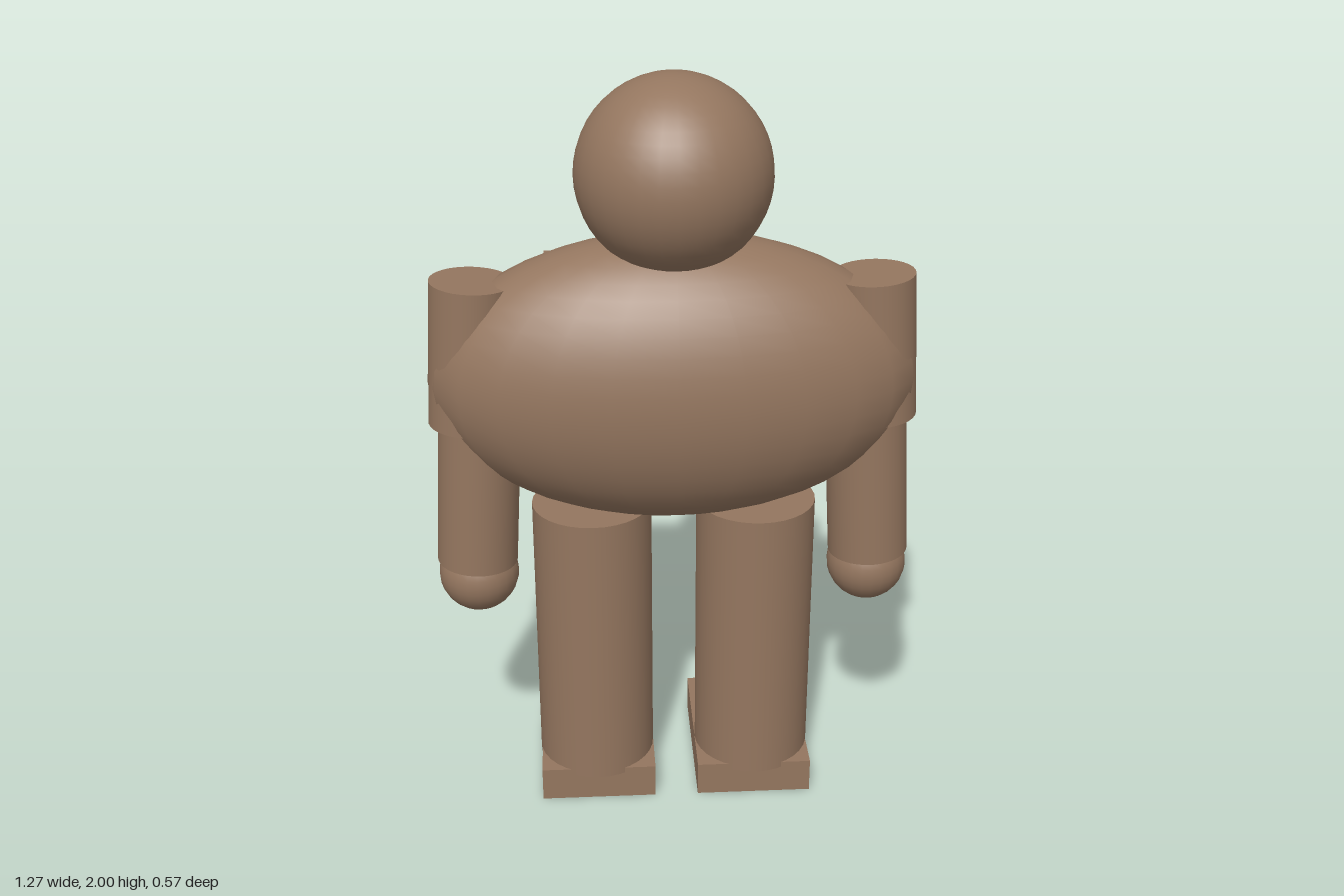
import * as THREE from 'three';

export function createModel() {
  const root = new THREE.Group();
  const brown = new THREE.MeshStandardMaterial({ color: 0x94765f });
  brown.name = 'brown';
  const yellow = new THREE.MeshStandardMaterial({ color: 0xd0c862 });
  yellow.name = 'yellow';

  function add(name, geometry, x, y, z, material = brown) {
    const mesh = new THREE.Mesh(geometry, material);
    mesh.name = name;
    mesh.position.set(x, y, z);
    root.add(mesh);
    return mesh;
  }

  // Body and head
  const body = new THREE.SphereGeometry(1, 24, 24);
  body.scale(0.632, 0.383, 0.273);
  add('body', body, 0, 1.218, 0.01);
  add('head', new THREE.SphereGeometry(0.247, 32, 24), 0, 1.753, 0.013);

  // Three plates across the -z side
  const plate = new THREE.BoxGeometry(0.66, 0.116, 0.056);
  for (const y of [1.1, 1.255, 1.41]) add('chestPlate', plate, 0, y, -0.24);

  const eye = new THREE.SphereGeometry(0.043, 16, 12);
  const upperArm = new THREE.CylinderGeometry(0.107, 0.107, 0.385, 32);
  const lowerArm = new THREE.CylinderGeometry(0.107, 0.107, 0.4, 32);
  const hand = new THREE.SphereGeometry(0.107, 24, 16);
  const upperLeg = new THREE.CylinderGeometry(0.159, 0.159, 0.395, 32);
  const lowerLeg = new THREE.CylinderGeometry(0.159, 0.159, 0.39, 32);
  const foot = new THREE.BoxGeometry(0.315, 0.096, 0.44);

  // Paired parts
  for (const side of [1, -1]) {
    const label = side > 0 ? 'left' : 'right';
    add(label + 'Eye', eye, side * 0.109, 1.786, -0.221, yellow);

    // Arms lean slightly outward towards the hands
    add(label + 'UpperArm', upperArm, side * 0.518, 1.294, 0.012).rotation.z = side * 0.06;
    add(label + 'LowerArm', lowerArm, side * 0.517, 0.9, 0.012).rotation.z = side * 0.06;
    add(label + 'Hand', hand, side * 0.527, 0.66, 0.012);

    add(label + 'UpperLeg', upperLeg, side * 0.219, 0.667, 0.015);
    add(label + 'LowerLeg', lowerLeg, side * 0.219, 0.275, 0.015);
    add(label + 'Foot', foot, side * 0.217, 0.048, -0.065);
  }
  return root;
}
